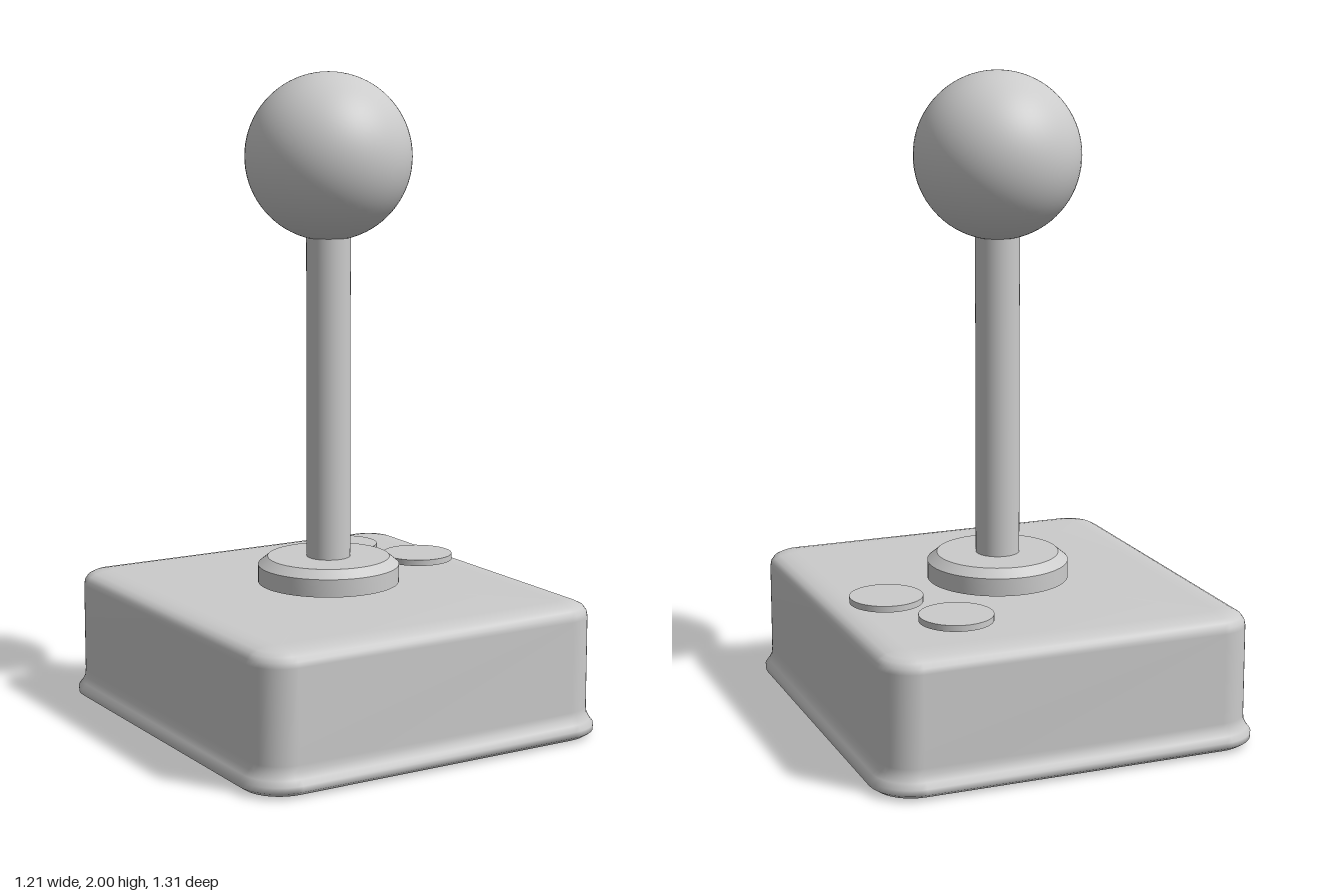
import * as THREE from 'three';
import { toCreasedNormals } from 'three/addons/utils/BufferGeometryUtils.js';

const material = new THREE.MeshStandardMaterial({ color: 0xcccccc });

function addMesh(parent, name, geometry, x = 0, y = 0, z = 0) {
  const mesh = new THREE.Mesh(geometry, material);
  mesh.name = name;
  mesh.position.set(x, y, z);
  parent.add(mesh);
}

// Turned part with crisp rims, from [radius, height] pairs
function turned(profile, segments = 64) {
  const points = profile.map(([r, y]) => new THREE.Vector2(r, y));
  return toCreasedNormals(new THREE.LatheGeometry(points, segments), 0.5);
}

// Stack of rounded rectangles sharing corner centres; sections are [height, corner radius]
function roundedStack(cx, cz, sections, cornerSteps = 10) {
  const positions = [], index = [];
  const ring = 4 * (cornerSteps + 1);
  for (const [y, r] of sections) {
    for (let q = 0; q < 4; q++) {
      const sx = q === 0 || q === 3 ? 1 : -1;
      const sz = q < 2 ? 1 : -1;
      for (let i = 0; i <= cornerSteps; i++) {
        const a = (q + i / cornerSteps) * Math.PI / 2;
        positions.push(sx * cx + r * Math.cos(a), y, sz * cz + r * Math.sin(a));
      }
    }
  }
  const last = (sections.length - 1) * ring;
  const bottom = positions.length / 3, top = bottom + 1;
  positions.push(0, sections[0][0], 0, 0, sections[sections.length - 1][0], 0);
  for (let i = 0; i < ring; i++) {
    const j = (i + 1) % ring;
    for (let k = 0; k < last; k += ring) {
      index.push(k + i, k + ring + i, k + j, k + j, k + ring + i, k + ring + j);
    }
    index.push(bottom, i, j, top, last + j, last + i);
  }
  const geometry = new THREE.BufferGeometry();
  geometry.setAttribute('position', new THREE.Float32BufferAttribute(positions, 3));
  geometry.setIndex(index);
  geometry.computeVertexNormals();
  return geometry;
}

export function createModel() {
  const model = new THREE.Group();
  model.name = 'joystick';

  // Housing with flared foot and softened top edge
  addMesh(model, 'base', roundedStack(0.475, 0.522, [
    [0, 0.08], [0.005, 0.112], [0.018, 0.131], [0.036, 0.132], [0.052, 0.12],
    [0.07, 0.111], [0.09, 0.109], [0.37, 0.109], [0.386, 0.106], [0.4, 0.096],
    [0.409, 0.078], [0.414, 0.05], [0.416, 0.015],
  ]));

  // Collar with a bevelled rim, just clear of the housing
  addMesh(model, 'collar', turned([
    [0, 0.428], [0.22, 0.428], [0.22, 0.483], [0.19, 0.508], [0, 0.508],
  ]));

  // Stick and ball grip
  addMesh(model, 'stick', new THREE.CylinderGeometry(0.068, 0.068, 1.1, 48), 0, 1.05, 0);
  addMesh(model, 'ballGrip', new THREE.SphereGeometry(0.255, 64, 40), 0, 1.745, 0);

  // Two thin round buttons
  for (const [x, z] of [[0.277, -0.365], [0.409, -0.118]]) {
    addMesh(model, 'button', new THREE.CylinderGeometry(0.112, 0.112, 0.019, 48), x, 0.436, z);
  }
  return model;
}
